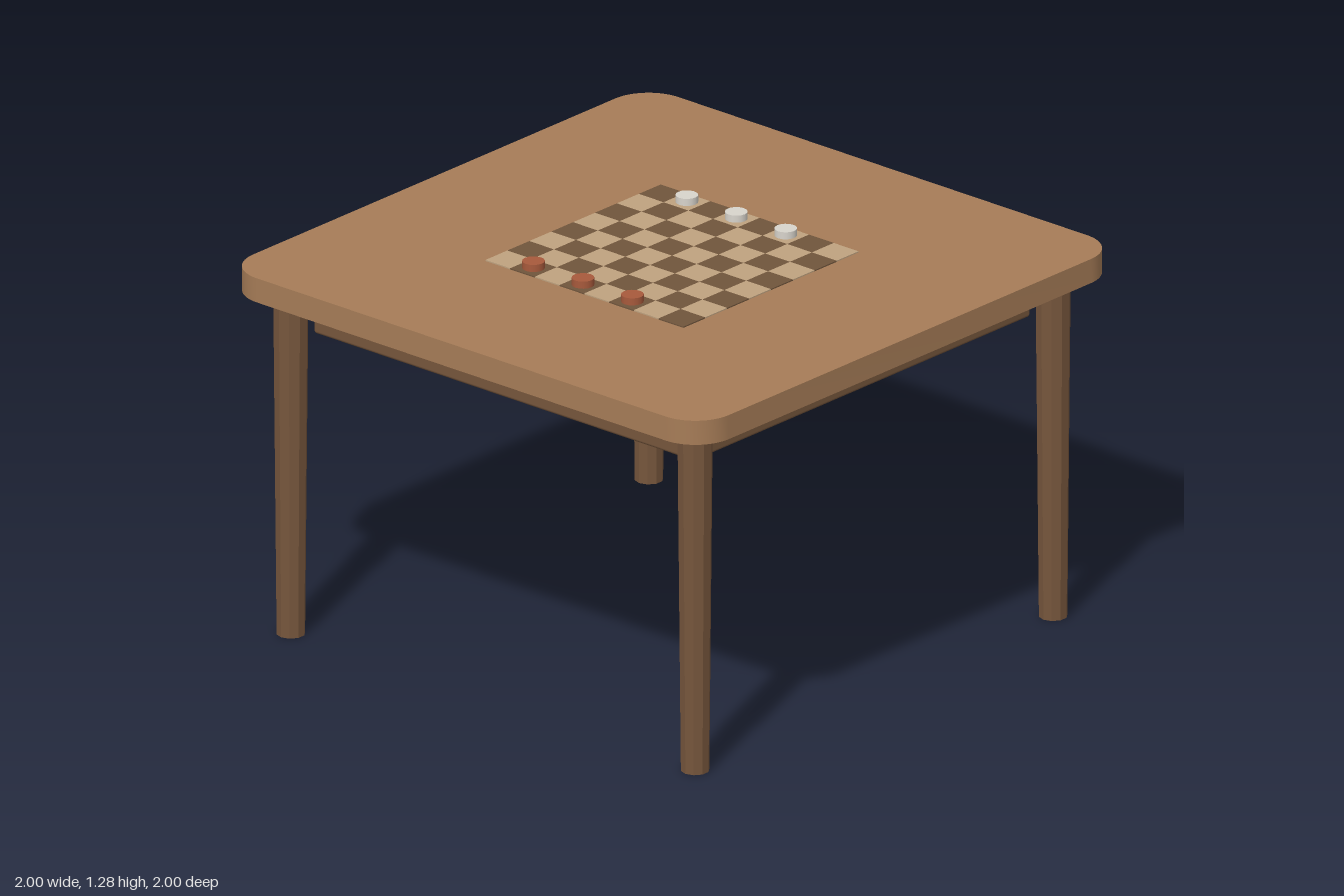
import * as THREE from 'three';
import { mergeGeometries, toCreasedNormals } from 'three/addons/utils/BufferGeometryUtils.js';
import { RoundedBoxGeometry } from 'three/addons/geometries/RoundedBoxGeometry.js';

const TOP = 1.252, UNDER = 1.17, CELL = 0.104;

const paint = (color, extra = {}) => new THREE.MeshStandardMaterial({ color, ...extra });

function add(parent, name, geometry, material, x = 0, y = 0, z = 0) {
  const mesh = new THREE.Mesh(geometry, material);
  mesh.name = name;
  mesh.position.set(x, y, z);
  parent.add(mesh);
  return mesh;
}

// Square outline with rounded corners
function roundedSquare(h, r) {
  const s = new THREE.Shape();
  s.absarc(h - r, h - r, r, 0, Math.PI / 2);
  s.absarc(r - h, h - r, r, Math.PI / 2, Math.PI);
  s.absarc(r - h, r - h, r, Math.PI, Math.PI * 1.5);
  s.absarc(h - r, r - h, r, Math.PI * 1.5, Math.PI * 2);
  s.closePath();
  return s;
}

// Centre of a board square along one axis
const cellAt = (i) => (i - 3.5) * CELL;

export function createModel() {
  const table = new THREE.Group();
  table.name = 'gameTable';
  const topWood = paint(0xa67c57);
  const legWood = paint(0x76563c, { flatShading: true });
  const apronWood = paint(0x76563c);

  // Tabletop slab
  const slab = new THREE.ExtrudeGeometry(roundedSquare(1, 0.14), {
    depth: TOP - UNDER, bevelEnabled: false, curveSegments: 10,
  });
  slab.rotateX(-Math.PI / 2);
  add(table, 'tabletop', toCreasedNormals(slab, 0.6), topWood, 0, UNDER, 0);

  // Closed box under the top, with softened edges
  add(table, 'apron', new RoundedBoxGeometry(1.6, 0.15, 1.6, 2, 0.01), apronWood, 0, 1.095, 0);

  // Tapered legs
  const legGeometry = new THREE.CylinderGeometry(0.057, 0.046, UNDER, 10);
  for (const x of [-0.85, 0.85]) {
    for (const z of [-0.85, 0.85]) {
      const name = (z > 0 ? 'front' : 'back') + (x > 0 ? 'Left' : 'Right') + 'Leg';
      add(table, name, legGeometry, legWood, x, UNDER / 2, z);
    }
  }

  // Inlaid board: thin tiles gathered by colour
  const board = new THREE.Group();
  board.name = 'board';
  table.add(board);
  const tiles = [[], []];
  for (let row = 0; row < 8; row++) {
    for (let col = 0; col < 8; col++) {
      const tile = new THREE.BoxGeometry(CELL, 0.004, CELL);
      tile.translate(cellAt(col), TOP + 0.002, cellAt(row));
      tiles[(row + col) % 2].push(tile);
    }
  }
  add(board, 'darkSquares', mergeGeometries(tiles[0]), paint(0x70553c));
  add(board, 'lightSquares', mergeGeometries(tiles[1]), paint(0xbfa27f));

  // Playing pieces, one row at each end
  const pieceGeometry = new THREE.CylinderGeometry(0.036, 0.036, 0.024, 16);
  const sides = [
    ['whitePiece', paint(0xd8d4cc), 0],
    ['redPiece', paint(0xa85a3c), 7],
  ];
  for (const [name, material, row] of sides) {
    for (const col of [1, 3, 5]) {
      add(table, name, pieceGeometry, material, cellAt(col), TOP + 0.016, cellAt(row));
    }
  }

  return table;
}
